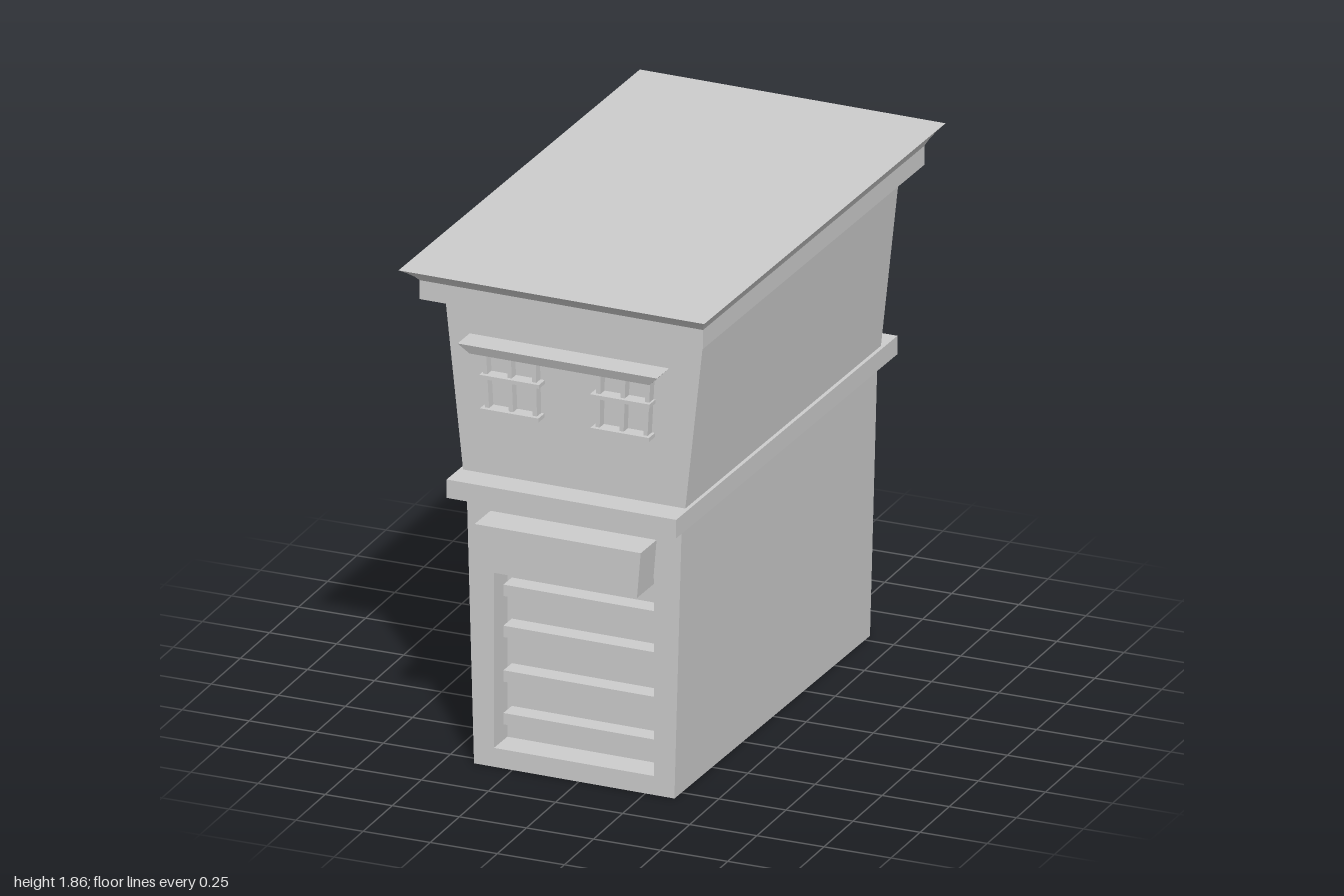
import * as THREE from 'three';

const material = new THREE.MeshStandardMaterial({ color: 0xcccccc });

// Box whose horizontal sections follow a list of [y, x0, x1, z0, z1], from bottom to top
function tapered(name, sections) {
  const n = sections.length - 1;
  const geometry = new THREE.BoxGeometry(1, 1, 1, 1, n, 1);
  const p = geometry.attributes.position;
  for (let i = 0; i < p.count; i++) {
    const [y, x0, x1, z0, z1] = sections[Math.round((p.getY(i) + 0.5) * n)];
    p.setXYZ(i, p.getX(i) < 0 ? x0 : x1, y, p.getZ(i) < 0 ? z0 : z1);
  }
  geometry.computeVertexNormals();
  const mesh = new THREE.Mesh(geometry, material);
  mesh.name = name;
  return mesh;
}

// Straight block and centred ring section
const block = (name, x0, x1, y0, y1, z0, z1) =>
  tapered(name, [[y0, x0, x1, z0, z1], [y1, x0, x1, z0, z1]]);
const ring = (y, hx, hz) => [y, -hx, hx, -hz, hz];

const WALL = 0.8;      // half depth of the walls
const RECESS = 0.11;   // depth of the door opening

function createFrontWall() {
  const shape = new THREE.Shape([[-0.377, 0], [0.377, 0], [0.405, 1.03], [-0.405, 1.03]]
    .map(([x, y]) => new THREE.Vector2(x, y)));
  shape.holes.push(new THREE.Path([[-0.302, 0.07], [-0.302, 0.8], [0.3, 0.8], [0.3, 0.07]]
    .map(([x, y]) => new THREE.Vector2(x, y))));
  const geometry = new THREE.ExtrudeGeometry(shape, { depth: RECESS, bevelEnabled: false });
  geometry.translate(0, 0, WALL - RECESS);
  const mesh = new THREE.Mesh(geometry, material);
  mesh.name = 'lowerFrontWall';
  return mesh;
}

function createWindow(cx) {
  const window = new THREE.Group();
  window.name = cx > 0 ? 'leftWindow' : 'rightWindow';
  window.add(block('sill', cx - 0.11, cx + 0.11, 1.325, 1.34, WALL - 0.01, 0.85));
  window.add(block('crossRail', cx - 0.112, cx + 0.112, 1.45, 1.464, WALL - 0.01, 0.85));
  // Uprights fan out with the walls
  for (const dx of [-0.09, 0, 0.09]) {
    const x = cx + dx, top = x * 1.04;
    window.add(tapered('upright', [
      [1.34, x - 0.008, x + 0.008, WALL - 0.01, 0.835],
      [1.56, top - 0.008, top + 0.008, WALL - 0.01, 0.835],
    ]));
  }
  return window;
}

export function createModel() {
  const model = new THREE.Group();
  model.name = 'building';

  // Storeys, widening towards the roof
  model.add(createFrontWall());
  model.add(tapered('lowerStorey', [
    [0, -0.377, 0.377, -WALL, WALL - RECESS],
    [1.03, -0.405, 0.405, -WALL, WALL - RECESS],
  ]));
  model.add(tapered('upperStorey', [ring(1.06, 0.416, WALL), ring(1.75, 0.49, WALL)]));

  // Ledge, cornice and flared roof edge
  model.add(block('ledge', -0.432, 0.432, 1.012, 1.08, -0.905, 0.905));
  model.add(block('cornice', -0.533, 0.533, 1.73, 1.8, -0.905, 0.905));
  model.add(tapered('roof', [
    ring(1.8, 0.533, 0.905), ring(1.819, 0.542, 0.926),
    ring(1.839, 0.556, 0.954), ring(1.86, 0.575, 0.9875),
  ]));

  // Door slats and the shutter housing above them
  for (const y of [0.145, 0.303, 0.468, 0.62]) {
    model.add(block('doorSlat', -0.285, 0.285, y, y + 0.042, WALL - RECESS - 0.01, WALL - 0.04));
  }
  model.add(tapered('shutterHousing', [
    [0.777, -0.303, 0.296, WALL - 0.02, 0.93],
    [0.945, -0.315, 0.31, WALL - 0.02, 0.93],
  ]));

  // Windows under one shared hood
  model.add(createWindow(-0.222), createWindow(0.194));
  model.add(tapered('windowHood', [
    [1.552, -0.355, 0.322, WALL - 0.01, 0.885],
    [1.588, -0.393, 0.357, WALL - 0.01, 0.9],
  ]));

  // The whole building stands slightly turned
  model.rotation.y = -0.0217;
  return model;
}
